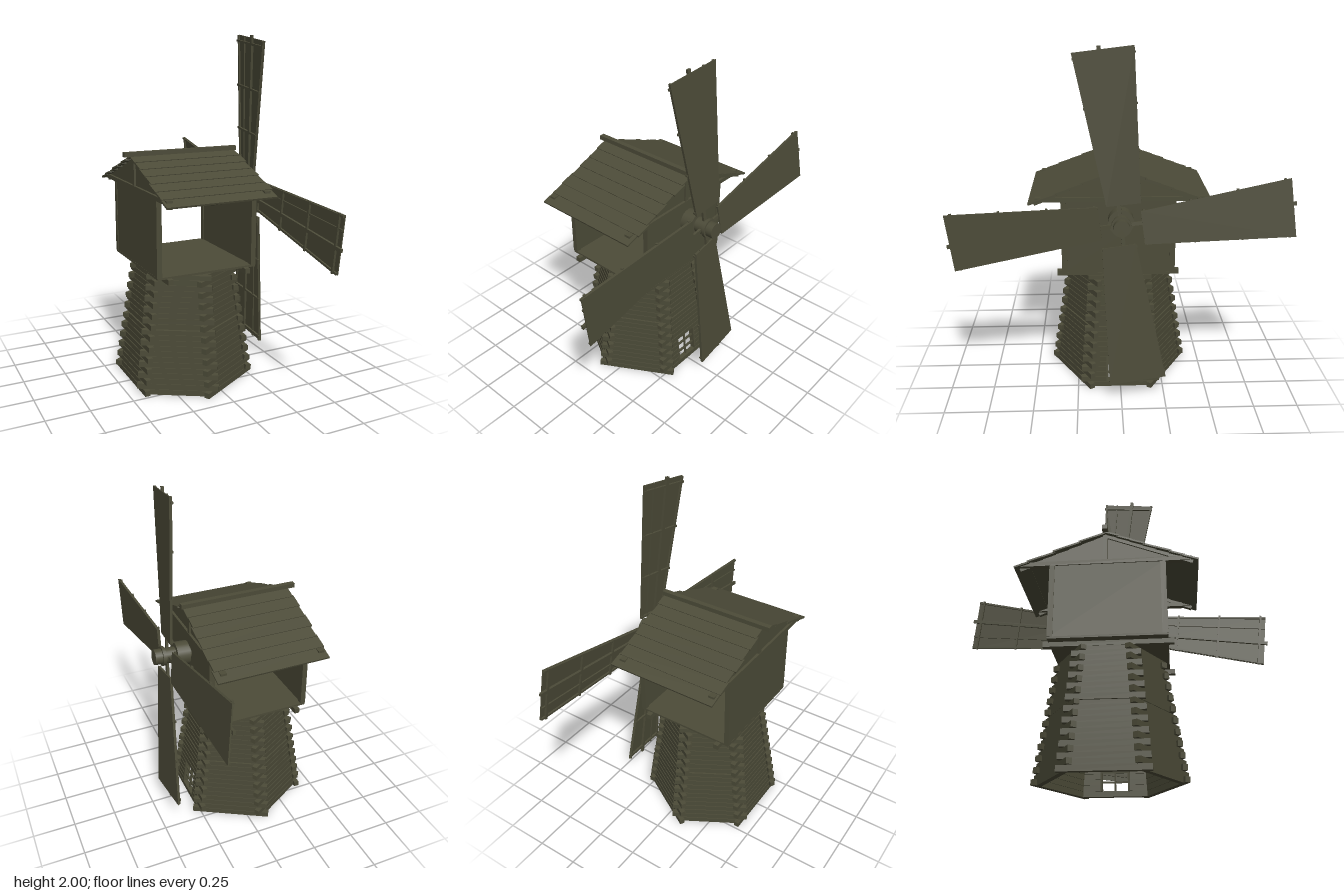
import * as THREE from 'three';

const wood = new THREE.MeshStandardMaterial({ color: 0x4c4b38 });
wood.name = 'weathered wood';

function add(parent, name, geo, x = 0, y = 0, z = 0) {
  const m = new THREE.Mesh(geo, wood);
  m.name = name;
  m.position.set(x, y, z);
  parent.add(m);
  return m;
}
const box = (parent, name, w, h, d, x, y, z) =>
  add(parent, name, new THREE.BoxGeometry(w, h, d), x, y, z);

function group(parent, name, x = 0, y = 0, z = 0) {
  const g = new THREE.Group();
  g.name = name;
  g.position.set(x, y, z);
  parent.add(g);
  return g;
}

// flat plate from an outline
function plate(points, depth) {
  const shape = new THREE.Shape(points.map(p => new THREE.Vector2(...p)));
  return new THREE.ExtrudeGeometry(shape, { depth, bevelEnabled: false });
}

const CX = -0.08; // tower and cabin centre in x

// six-sided tower of stacked logs, alternate ends crossing at the corners
function buildTower(root) {
  const tower = group(root, 'tower', CX);
  const layers = 22, h = 0.0312, thick = 0.03, doorHalf = 0.08;
  for (let k = 0; k < layers; k++) {
    const a = 0.328 - 0.09 * (k / (layers - 1));
    const gap = k === 11 || k === 21 ? 0.005 : 0;
    const y = (k + 0.5) * h - gap / 2;
    for (let i = 0; i < 6; i++) {
      const side = group(tower, 'logCourse');
      side.rotation.y = i * Math.PI / 3;
      const half = a / Math.sqrt(3) + ((i + k) % 2 ? 0.045 : 0.005);
      if (i === 0 && k >= 1 && k <= 5) { // doorway
        const len = half - doorHalf;
        for (const s of [-1, 1])
          box(side, 'log', thick, h, len, a, y, s * (doorHalf + len / 2));
      } else box(side, 'log', thick, h - gap, half * 2, a, y, 0);
    }
  }
  // door frame and grille
  const door = group(tower, 'door', 0.325, 0.031, 0);
  door.rotation.z = 0.13;
  for (const s of [-1, 1]) box(door, 'doorPost', 0.034, 0.158, 0.012, 0, 0.078, s * 0.077);
  for (const y of [0.05, 0.105]) box(door, 'doorBar', 0.012, 0.01, 0.15, 0, y, 0);
  box(door, 'doorBar', 0.012, 0.156, 0.008, 0, 0.078, 0);
}

// cabin: floor, two end walls, open front and back
function buildCabin(root) {
  const cabin = group(root, 'cabin', CX, 0, 0.01);
  box(cabin, 'floor', 0.6, 0.012, 0.64, 0, 0.716, 0);
  for (const s of [-1, 1]) {
    box(cabin, 'floorBeam', 0.03, 0.03, 0.7, s * 0.235, 0.699, 0);
    box(cabin, 'wall', 0.02, 0.43, 0.62, s * 0.289, 0.935, 0);
    for (const t of [-1, 1])
      box(cabin, 'cornerPost', 0.03, 0.43, 0.03, s * 0.288, 0.935, t * 0.305);
    box(cabin, 'tieBeam', 0.035, 0.025, 0.94, s * 0.288, 1.158, -0.01);
    const gable = add(cabin, 'gable',
      plate([[-0.47, 1.15], [0.47, 1.15], [0, 1.33]], 0.012), s * 0.285 - 0.006, 0, -0.01);
    gable.rotation.y = Math.PI / 2;
    box(cabin, 'kingPost', 0.03, 0.17, 0.025, s * 0.288, 1.245, -0.01);
  }
}

// gable roof of lapped planks with a ridge beam
function buildRoof(root) {
  const roof = group(root, 'roof', CX + 0.007, 1.343, 0);
  const slope = 0.373, planks = 7, run = 0.54 / planks;
  for (const s of [-1, 1]) {
    const side = group(roof, 'roofSlope');
    if (s < 0) side.rotation.y = Math.PI;
    const pitch = group(side, 'roofPitch');
    pitch.rotation.x = slope;
    for (let i = 0; i < planks; i++) {
      const jitter = ((i * 5 + (s > 0 ? 2 : 0)) % 4) * 0.003;
      const p = box(pitch, 'roofPlank', 0.648 + jitter, 0.01, run + 0.012,
        (i % 2 ? 1 : -1) * 0.003, -0.006, (i + 0.5) * run);
      p.rotation.x = -0.05;
    }
    for (const x of [-0.295, 0.28])
      box(pitch, 'rafter', 0.025, 0.02, 0.51, x, -0.02, 0.265);
  }
  box(roof, 'ridgeBeam', 0.7, 0.026, 0.03, -0.014, 0.004, 0);
}

// one sail: cloth in front, frame of stock, edge rails and cross bars behind
function buildSail(rotor, k) {
  const spin = group(rotor, 'sail');
  spin.rotation.set(THREE.MathUtils.degToRad(7) + k * Math.PI / 2, Math.PI / 2 - 0.06, 0);
  const left = u => -0.066 - 0.092 * (u - 0.113);
  const right = u => 0.119 + 0.076 * (u - 0.113);
  const u0 = 0.113, u1 = 0.927;
  add(spin, 'sailCloth',
    plate([[left(u0), u0], [right(u0), u0], [right(u1), u1], [left(u1), u1]], 0.006));
  box(spin, 'sailStock', 0.02, 0.945, 0.014, 0, 0.4725, -0.007);
  for (const edge of [left, right]) {
    const inset = edge === left ? 0.008 : -0.008;
    const rail = box(spin, 'edgeRail', 0.012, u1 - u0, 0.01,
      (edge(u0) + edge(u1)) / 2 + inset, (u0 + u1) / 2, -0.005);
    rail.rotation.z = -Math.atan2(edge(u1) - edge(u0), u1 - u0);
  }
  const mid = box(spin, 'middleRail', 0.01, u1 - u0, 0.008, 0.085, (u0 + u1) / 2, -0.004);
  mid.rotation.z = -0.04;
  for (const u of [0.13, 0.385, 0.64, 0.895]) {
    const w = right(u) - left(u) + 0.008;
    box(spin, 'crossBar', w, 0.012, 0.012, (left(u) + right(u)) / 2, u, -0.008);
  }
}

// tilted shaft, hub and four sails
function buildRotor(root) {
  const rotor = group(root, 'rotor', 0.362, 1.056, 0);
  rotor.rotation.set(0, -0.012, 0.058);
  const parts = [
    ['shaft', 0.033, 0.036, -0.265, -0.1],
    ['drum', 0.071, 0.071, -0.125, -0.05],
    ['neck', 0.045, 0.045, -0.05, 0.02],
    ['collar', 0.056, 0.056, 0.012, 0.03],
    ['hubCap', 0.045, 0.045, 0.03, 0.072],
  ];
  for (const [name, r0, r1, x0, x1] of parts) {
    const geo = new THREE.CylinderGeometry(r1, r0, x1 - x0, 20);
    geo.rotateZ(-Math.PI / 2);
    add(rotor, name, geo, (x0 + x1) / 2);
  }
  for (let k = 0; k < 4; k++) buildSail(rotor, k);
}

export function createModel() {
  const root = new THREE.Group();
  root.name = 'windmill';
  buildTower(root);
  buildCabin(root);
  buildRoof(root);
  buildRotor(root);
  return root;
}
